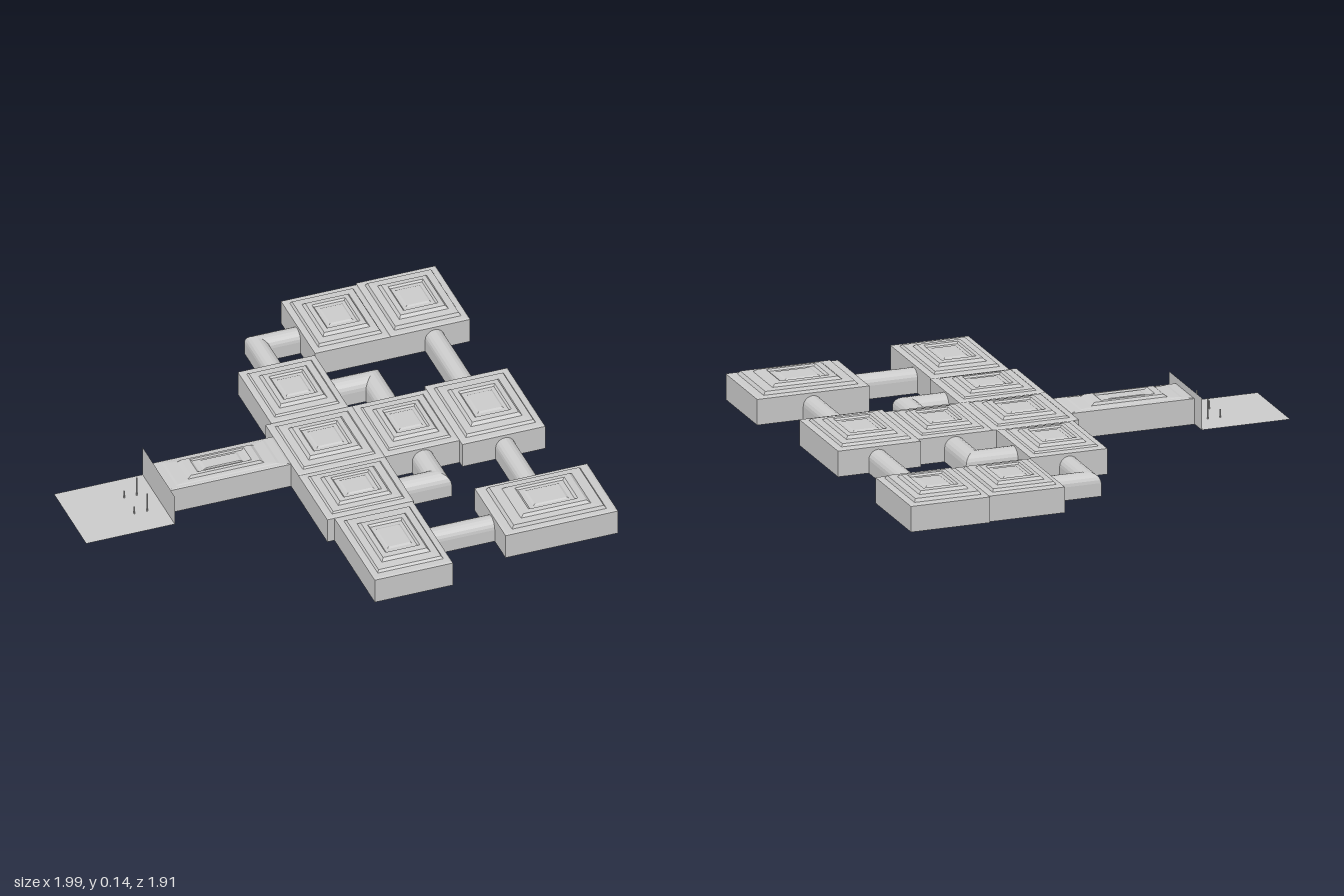
import * as THREE from 'three';

const material = new THREE.MeshStandardMaterial({ color: 0xcccccc, flatShading: true });
const thin = new THREE.MeshStandardMaterial({ color: 0xcccccc, side: THREE.DoubleSide });

// Skin a row of convex loops (arrays of Vector3) and cap both ends
function loft(loops) {
  const pos = [];
  const tri = (a, b, c) => [a, b, c].forEach((p) => pos.push(p.x, p.y, p.z));
  const n = loops[0].length;
  for (let k = 0; k + 1 < loops.length; k++) {
    for (let i = 0; i < n; i++) {
      const j = (i + 1) % n;
      tri(loops[k][i], loops[k][j], loops[k + 1][j]);
      tri(loops[k][i], loops[k + 1][j], loops[k + 1][i]);
    }
  }
  const first = loops[0], last = loops[loops.length - 1];
  for (let i = 1; i + 1 < n; i++) {
    tri(first[0], first[i + 1], first[i]);
    tri(last[0], last[i], last[i + 1]);
  }
  const geometry = new THREE.BufferGeometry();
  geometry.setAttribute('position', new THREE.Float32BufferAttribute(pos, 3));
  geometry.computeVertexNormals();
  return geometry;
}

// Walls and stepped roof: [inset as a share of the size, height]
const ROOF = [
  [0, 0], [0, 0.107], [0.02, 0.11], [0.08, 0.111], [0.1, 0.117],
  [0.19, 0.119], [0.22, 0.13], [0.28, 0.132], [0.3, 0.125], [0.34, 0.125], [0.36, 0.129],
];

function room(x0, x1, z0, z1, lift = 0) {
  const cx = (x0 + x1) / 2, cz = (z0 + z1) / 2;
  const corners = [[1, 1], [1, -1], [-1, -1], [-1, 1]];
  return loft(ROOF.map(([inset, y], i) => corners.map(([sx, sz]) => new THREE.Vector3(
    cx + sx * (x1 - x0) * (0.5 - inset),
    i > 3 ? y + lift : y,
    cz + sz * (z1 - z0) * (0.5 - inset),
  ))));
}

// Arched passage along a path of [x, z] points, mitred at the bends
function passage(path, w = 0.04, wall = 0.055) {
  const profile = [[-w, 0]];
  for (let i = 0; i <= 10; i++) {
    const a = Math.PI * (1 - i / 10);
    profile.push([w * Math.cos(a), wall + w * Math.sin(a)]);
  }
  profile.push([w, 0]);
  const pts = path.map(([x, z]) => new THREE.Vector2(x, z));
  const side = (a, b) => {
    const d = b.clone().sub(a).normalize();
    return new THREE.Vector2(-d.y, d.x);
  };
  return loft(pts.map((p, i) => {
    const before = side(pts[Math.max(i - 1, 0)], pts[Math.max(i, 1)]);
    const end = pts.length - 1;
    const after = side(pts[Math.min(i, end - 1)], pts[Math.min(i + 1, end)]);
    const r = before.clone().add(after);
    r.multiplyScalar(1 / (1 + before.dot(after)));
    return profile.map(([s, y]) => new THREE.Vector3(p.x + r.x * s, y, p.y + r.y * s));
  }));
}

export function createModel() {
  const model = new THREE.Group();
  const add = (name, geometry, mat = material) => {
    const mesh = new THREE.Mesh(geometry, mat);
    mesh.name = name;
    model.add(mesh);
    return mesh;
  };

  // Rooms: x range, z range, extra roof height
  const rooms = {
    backRoom: [0.25, 0.57, -0.95, -0.57, 0.005],
    backCornerRoom: [0.57, 0.905, -0.96, -0.57, 0.007],
    backHall: [-0.08, 0.245, -0.56, -0.185, 0],
    centralHall: [-0.105, 0.26, -0.185, 0.185, 0],
    innerRoom: [0.26, 0.575, -0.185, 0.185, 0],
    sideRoom: [0.575, 0.925, -0.21, 0.215, 0.004],
    frontHall: [-0.105, 0.26, 0.185, 0.505, 0],
    frontRoom: [-0.075, 0.255, 0.505, 0.955, 0.003],
    frontCornerRoom: [0.515, 0.99, 0.51, 0.855, 0.007],
    entranceHall: [-0.625, -0.105, -0.1, 0.1, -0.004],
  };
  for (const [name, args] of Object.entries(rooms)) add(name, room(...args));

  // Arched passages between rooms
  const passages = {
    backBentPassage: [[0.082, -0.54], [0.082, -0.77], [0.27, -0.77]],
    innerBackPassage: [[0.23, -0.378], [0.42, -0.378], [0.42, -0.17]],
    innerFrontPassage: [[0.24, 0.343], [0.42, 0.343], [0.42, 0.17]],
    sideBackPassage: [[0.755, -0.59], [0.755, -0.19]],
    sideFrontPassage: [[0.755, 0.2], [0.755, 0.53]],
    frontPassage: [[0.24, 0.695], [0.53, 0.695]],
  };
  for (const [name, path] of Object.entries(passages)) {
    add(name, passage(path, /inner/.test(name) ? 0.045 : 0.04));
  }

  // Open forecourt and the facade wall behind it
  add('forecourt', new THREE.PlaneGeometry(0.375, 0.36).rotateX(-Math.PI / 2), thin)
    .position.set(-0.8125, 0.001, 0);
  add('facade', new THREE.PlaneGeometry(0.36, 0.134).rotateY(-Math.PI / 2), thin)
    .position.set(-0.626, 0.067, 0);

  // Slim posts in front of the facade
  for (const [x, h] of [[-0.697, 0.085], [-0.75, 0.035]]) {
    for (const s of [-1, 1]) {
      add('post', new THREE.CylinderGeometry(0.003, 0.003, h, 6))
        .position.set(x, h / 2, s * 0.058);
    }
  }
  return model;
}
